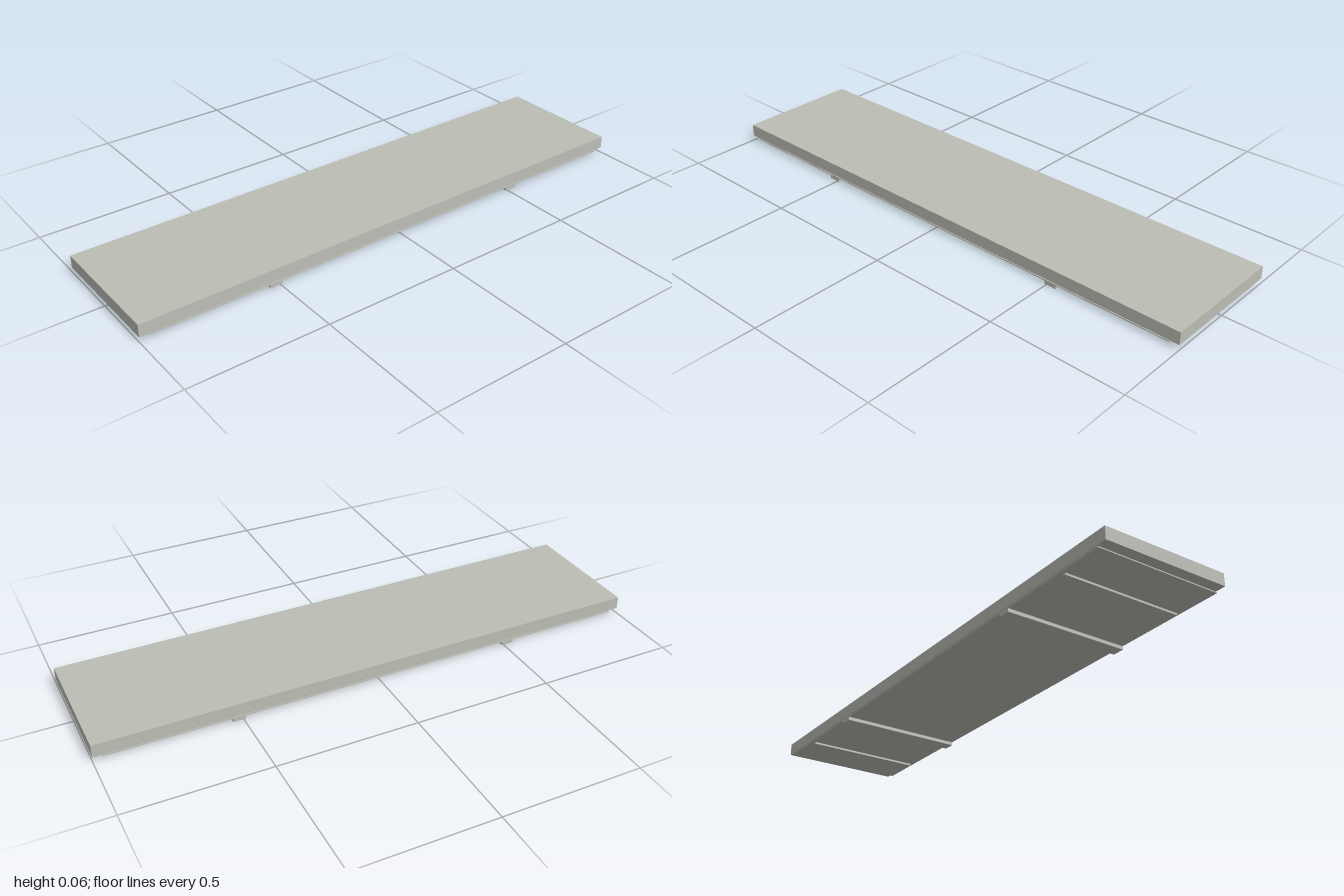
import * as THREE from 'three';

export function createModel() {
  const model = new THREE.Group();
  model.name = 'shelfPanel';
  const paleGrey = new THREE.MeshStandardMaterial({ color: 0xbcbeb5 });
  paleGrey.name = 'pale grey';

  // Box centred on z, spanning y0 to y1
  const addBox = (name, width, depth, y0, y1, x = 0) => {
    const mesh = new THREE.Mesh(new THREE.BoxGeometry(width, y1 - y0, depth), paleGrey);
    mesh.name = name;
    mesh.position.set(x, (y0 + y1) / 2, 0);
    model.add(mesh);
  };

  // Thick top slab above a thin backing sheet, with a narrow gap between
  addBox('topSlab', 2, 0.466, 0.0195, 0.065);
  addBox('backingSheet', 1.93, 0.466, 0.0125, 0.0165);

  // Mirrored support rails and slim ribs under the sheet
  for (const [side, label] of [[1, 'left'], [-1, 'right']]) {
    addBox(label + 'SupportRail', 0.045, 0.466, 0, 0.0125, side * 0.515);
    addBox(label + 'Rib', 0.01, 0.442, 0.005, 0.0125, side * 0.8);
  }
  return model;
}
